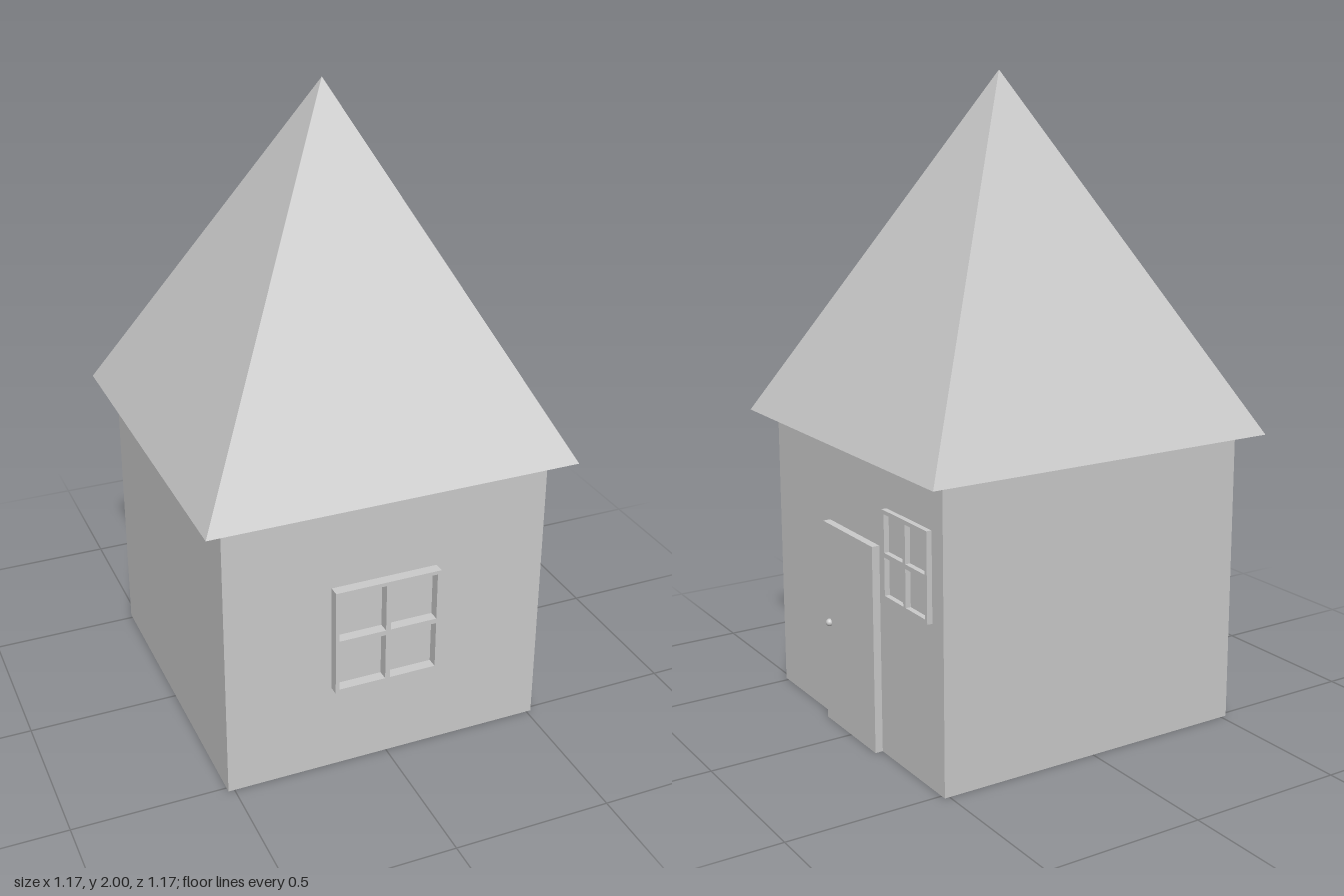
import * as THREE from 'three';

const material = new THREE.MeshStandardMaterial({ color: 0xcccccc, flatShading: true });
const smooth = new THREE.MeshStandardMaterial({ color: 0xcccccc });

function add(parent, name, geometry, x, y, z, mat = material) {
  const mesh = new THREE.Mesh(geometry, mat);
  mesh.name = name;
  mesh.position.set(x, y, z);
  parent.add(mesh);
  return mesh;
}

// Square-cornered frame with four open panes, facing +z, its back at z = 0
function windowFrame(width, height, depth, border, bar) {
  const w = width / 2, h = height / 2;
  const shape = new THREE.Shape([[-w, -h], [w, -h], [w, h], [-w, h]].map(([x, y]) => new THREE.Vector2(x, y)));
  for (const sx of [-1, 1]) {
    for (const sy of [-1, 1]) {
      const x0 = sx * bar / 2, x1 = sx * (w - border);
      const y0 = sy * bar / 2, y1 = sy * (h - border);
      shape.holes.push(new THREE.Path([[x0, y0], [x0, y1], [x1, y1], [x1, y0]].map(([x, y]) => new THREE.Vector2(x, y))));
    }
  }
  return new THREE.ExtrudeGeometry(shape, { depth, bevelEnabled: false });
}

export function createModel() {
  const house = new THREE.Group();
  house.name = 'house';

  // Walls
  add(house, 'walls', new THREE.BoxGeometry(1.035, 0.92, 1.035), -0.002, 0.46, 0);

  // Four-sided pyramid roof with overhanging eaves
  const roof = new THREE.ConeGeometry(0.583 * Math.SQRT2, 1.08, 4);
  roof.rotateY(Math.PI / 4);
  add(house, 'roof', roof, 0, 1.46, 0);

  // Door on the left side, with its knob
  add(house, 'door', new THREE.BoxGeometry(0.025, 0.645, 0.315), 0.5275, 0.3225, 0.0025);
  add(house, 'doorKnob', new THREE.SphereGeometry(0.012, 16, 12), 0.542, 0.325, 0.128, smooth);

  // Large front window and small side window
  add(house, 'frontWindow', windowFrame(0.34, 0.35, 0.037, 0.012, 0.016), -0.015, 0.46, 0.514);
  const side = add(house, 'sideWindow', windowFrame(0.255, 0.27, 0.018, 0.012, 0.014), 0.514, 0.635, -0.33);
  side.rotation.y = Math.PI / 2;

  return house;
}
